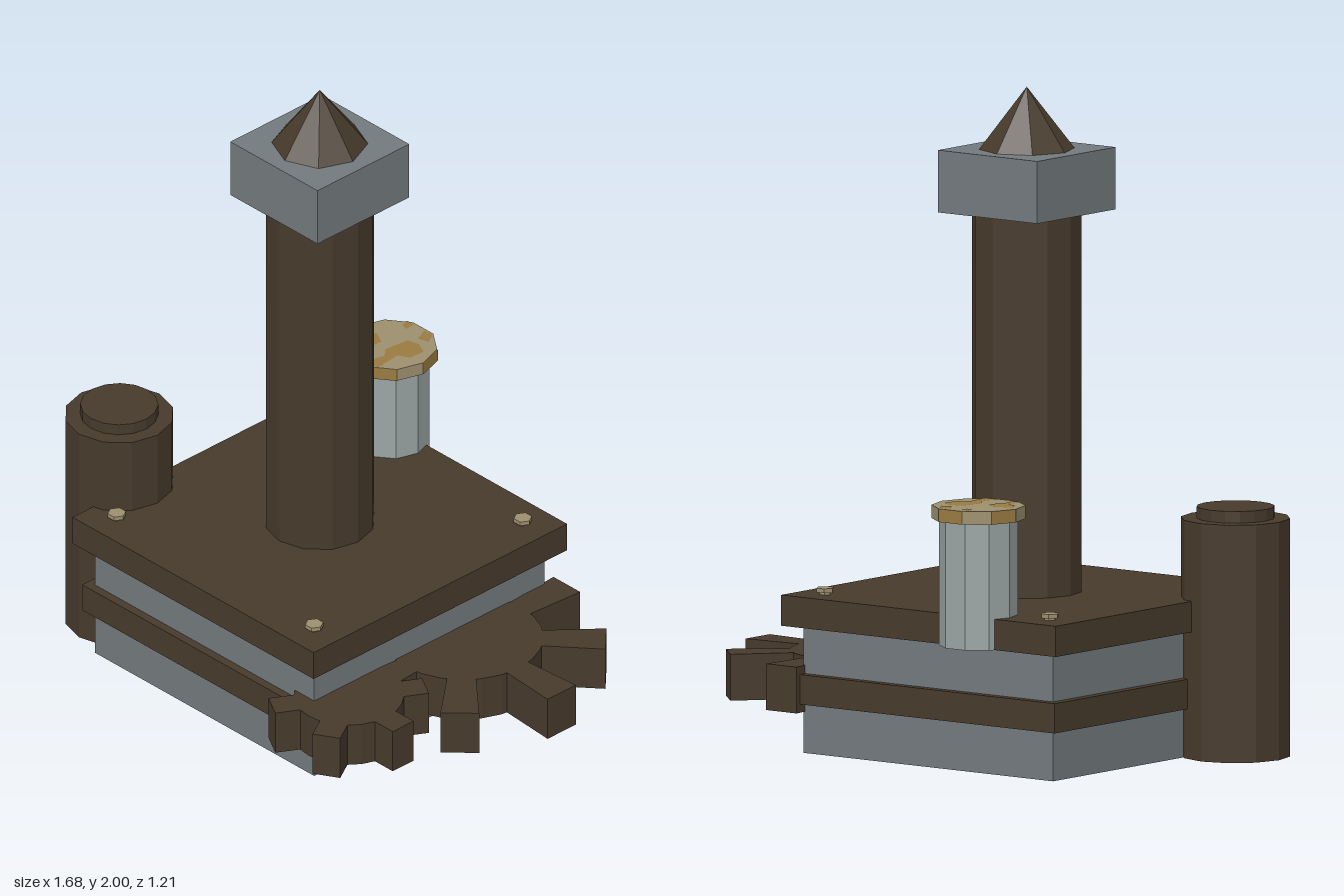
import * as THREE from 'three';

const material = (name, color) => {
  const m = new THREE.MeshStandardMaterial({ color, flatShading: true });
  m.name = name;
  return m;
};

export function createModel() {
  const model = new THREE.Group();
  model.name = 'gearTower';
  const brown = material('dark bronze', 0x473a2c);
  const grey = material('stone grey', 0x737a7d);
  const steel = material('pale steel', 0x9aa5a3);
  const brass = material('pale brass', 0x9d8f6e);
  const gold = material('tarnished gold', 0x9a7a42);
  const cx = -0.108; // axis of the base and tower

  const add = (name, geometry, mat, x = 0, y = 0, z = 0, parent = model) => {
    const mesh = new THREE.Mesh(geometry, mat);
    mesh.name = name;
    mesh.position.set(x, y, z);
    parent.add(mesh);
    return mesh;
  };
  const box = (name, w, y0, y1, mat) =>
    add(name, new THREE.BoxGeometry(w, y1 - y0, w), mat, cx, (y0 + y1) / 2, 0);
  const prism = (name, r, y0, y1, sides, mat, x, z, turn = 0, rTop = r) =>
    add(name, new THREE.CylinderGeometry(rTop, r, y1 - y0, sides, 1, false, turn), mat, x, (y0 + y1) / 2, z);

  // Square base with a band and an overhanging deck
  box('base', 0.95, 0, 0.39, grey);
  box('baseBand', 1.004, 0.15, 0.24, brown);
  box('deck', 1.045, 0.385, 0.478, brown);

  // Tower with a square cap and a pointed roof
  prism('towerShaft', 0.166, 0.47, 1.63, 12, brown, cx, 0);
  box('towerCap', 0.378, 1.625, 1.813, grey);
  add('towerSpire', new THREE.ConeGeometry(0.144, 0.187, 8), brown, cx, 1.9065, 0);

  // Tank beside the base
  prism('tank', 0.165, 0, 0.718, 12, brown, -0.678, 0.285);
  prism('tankLid', 0.117, 0.71, 0.753, 16, brown, -0.678, 0.285);

  // Bolts on the deck corners
  for (const sx of [-1, 1]) for (const sz of [-1, 1]) {
    const x = cx + sx * 0.428, z = sz * 0.43;
    prism('boltStem', 0.018, 0.47, 0.488, 6, brass, x, z, Math.PI / 2);
    prism('boltHead', 0.028, 0.485, 0.498, 6, brass, x, z, Math.PI / 2);
  }

  // Exhaust pipe with a rim
  const px = -0.297, pz = -0.472, turn = Math.PI / 2;
  prism('pipe', 0.118, 0.385, 0.775, 10, steel, px, pz, turn);
  prism('pipeRim', 0.141, 0.768, 0.808, 10, brass, px, pz, turn);

  // Tarnish patches on the rim top, as outlines of (x, z) in hundredths
  const patches = [
    [-12, 1, -7, -1, -3, 1, -3, 5, -4.5, 6, -4, 11.5, -7, 11.5, -6.5, 6, -10, 5],
    [2, -5, 6, -6, 10, -4, 9.5, 1, 6, 3, 7, 12, 2, 12, 3.5, 6, 1, 3],
    [1.5, -12.5, 5, -12.5, 7, -9, 3.5, -8],
    [-6, -12.5, -3, -12.5, -3, -9, -5.5, -10],
  ];
  patches.forEach((p) => {
    const points = [];
    for (let i = 0; i < p.length; i += 2) points.push(new THREE.Vector2(p[i] / 100, -p[i + 1] / 100));
    const g = new THREE.ShapeGeometry(new THREE.Shape(points)).rotateX(-Math.PI / 2);
    add('rimTopTarnish', g, gold, px, 0.81, pz);
  });
  // Tarnish on alternate rim sides
  const step = Math.PI / 5;
  for (let i = 0; i < 10; i += 2) {
    const g = new THREE.CylinderGeometry(0.143, 0.143, 0.039, 1, 1, true, turn + i * step, step);
    add('rimSideTarnish', g, gold, px, 0.788, pz);
  }

  // Gears: a disc with radial teeth, which may widen outwards
  const gear = (name, x, z, bodyR, tipR, count, innerW, outerW) => {
    const group = new THREE.Group();
    group.name = name;
    group.position.set(x, 0.195, z);
    const h = 0.14;
    add('gearDisc', new THREE.CylinderGeometry(bodyR, bodyR, h, 24), brown, 0, 0, 0, group);
    const r0 = bodyR * 0.9;
    const tooth = new THREE.Shape([
      new THREE.Vector2(r0, -innerW / 2), new THREE.Vector2(tipR, -outerW / 2),
      new THREE.Vector2(tipR, outerW / 2), new THREE.Vector2(r0, innerW / 2),
    ]);
    const g = new THREE.ExtrudeGeometry(tooth, { depth: h, bevelEnabled: false })
      .translate(0, 0, -h / 2).rotateX(-Math.PI / 2);
    for (let i = 0; i < count; i++) {
      add('gearTooth', g, brown, 0, 0, 0, group).rotation.y = (i / count) * Math.PI * 2;
    }
    model.add(group);
  };
  gear('largeGear', 0.415, -0.095, 0.24, 0.426, 8, 0.085, 0.116);
  gear('smallGear', 0.417, 0.38, 0.165, 0.236, 6, 0.086, 0.086);

  return model;
}
